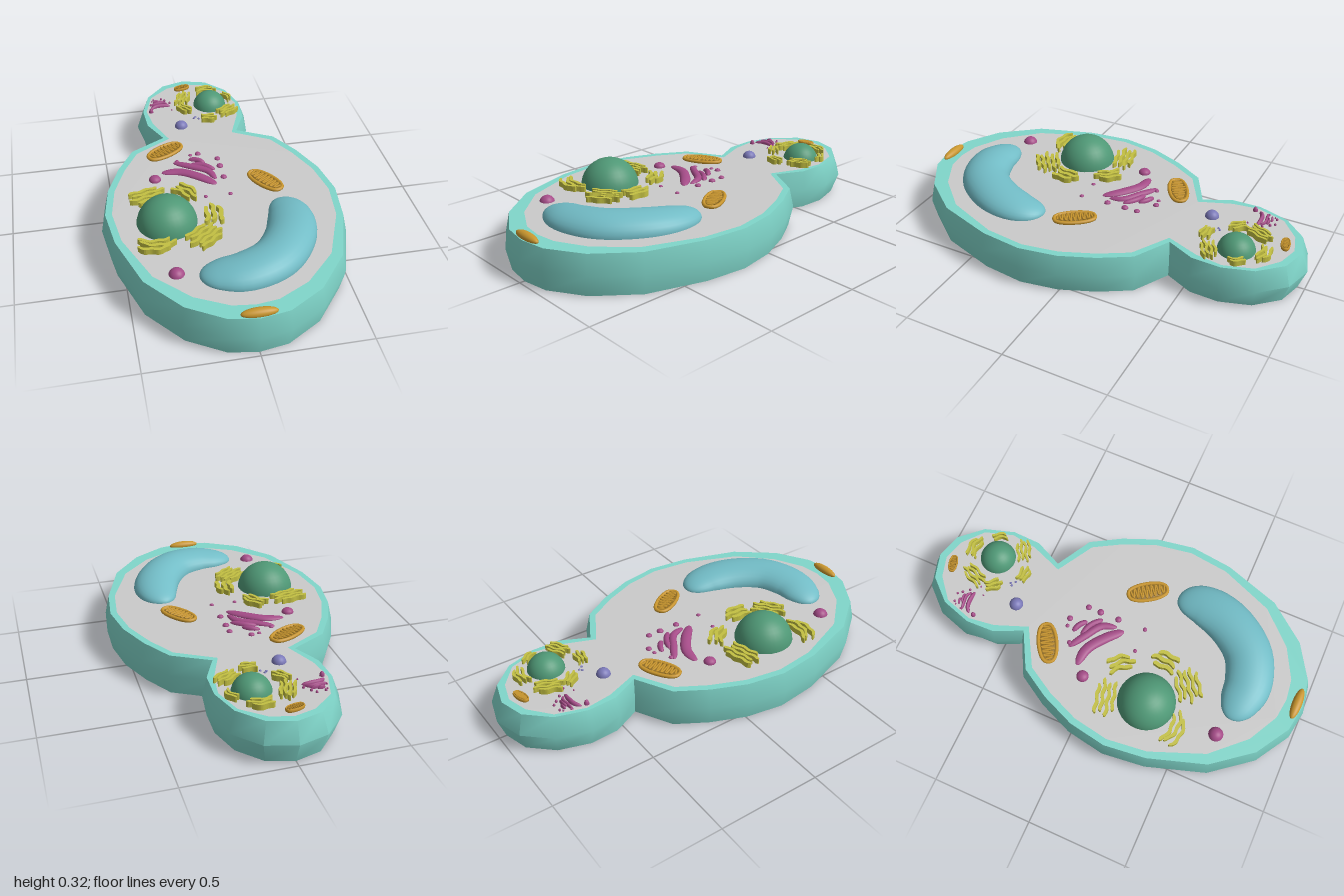
import * as THREE from 'three';
import { toCreasedNormals } from 'three/addons/utils/BufferGeometryUtils.js';

const TOP = 0.195;

function mat(name, color, side = THREE.FrontSide) {
  const m = new THREE.MeshStandardMaterial({ color, side });
  m.name = name;
  return m;
}

export function createModel() {
  const teal = mat('teal wall', 0x80d6ca);
  const gray = mat('gray cytoplasm', 0xcbcbcb);
  const green = mat('green nucleus', 0x4f9876);
  const blue = mat('blue vacuole', 0x72bcc6);
  const yellow = mat('yellow reticulum', 0xc3c043);
  const orange = mat('orange shell', 0xc9962e);
  const brown = mat('brown matrix', 0x94702a);
  const magenta = mat('magenta golgi', 0xa54c88);
  const purple = mat('purple vesicle', 0x7b79b8);

  const model = new THREE.Group();
  const add = (parent, name, geo, material, x = 0, y = 0, z = 0) => {
    const m = new THREE.Mesh(geo, material);
    m.name = name;
    m.position.set(x, y, z);
    parent.add(m);
    return m;
  };
  const group = (name, x, z, angle = 0, scale = 1) => {
    const g = new THREE.Group();
    g.name = name;
    g.position.set(x, 0, z);
    g.rotation.y = angle;
    g.scale.set(scale, 1, scale);
    model.add(g);
    return g;
  };

  // Cell outline as [x, z]: half of it, mirrored
  const half = [[0, -1], [0.14, -0.96], [0.25, -0.84], [0.3, -0.68], [0.28, -0.53], [0.215, -0.41],
    [0.385, -0.32], [0.475, -0.17], [0.545, 0], [0.577, 0.19], [0.552, 0.4], [0.46, 0.68],
    [0.31, 0.87], [0.14, 0.975], [0, 0.998]];
  const outline = [...half, ...half.slice(1, -1).reverse().map(([x, z]) => [-x, z])];
  const n = outline.length;
  const inset = (amount) => outline.map(([x, z], i) => {
    const [ax, az] = outline[(i + n - 1) % n], [bx, bz] = outline[(i + 1) % n];
    const l = Math.hypot(bx - ax, bz - az), d = amount(z);
    return [x - d * (bz - az) / l, z + d * (bx - ax) / l];
  });
  const edge = inset((z) => (z < -0.6 ? 0.035 : 0.021));
  const inner = inset((z) => 0.053 + 0.05 * Math.max(0, (z - 0.5) * 2) + (z < -0.9 ? 0.018 : 0));

  // Wall: three loops, widest in the middle
  const pos = [], idx = [];
  [[edge, 0], [outline, 0.1], [edge, TOP]].forEach(([ring, y]) => ring.forEach(([x, z]) => pos.push(x, y, z)));
  for (let r = 0; r < 2; r++) for (let i = 0; i < n; i++) {
    const a = r * n + i, b = r * n + (i + 1) % n;
    idx.push(a, a + n, b, b, a + n, b + n);
  }
  const wall = new THREE.BufferGeometry();
  wall.setAttribute('position', new THREE.Float32BufferAttribute(pos, 3));
  wall.setIndex(idx);
  add(model, 'cellWall', toCreasedNormals(wall, 0.85), teal);

  // Flat faces: bottom, rim and cytoplasm
  const shape = (pts, s) => new THREE.Shape(pts.map(([x, z]) => new THREE.Vector2(x, s * z)));
  add(model, 'cellBottom', new THREE.ShapeGeometry(shape(edge, 1)).rotateX(Math.PI / 2), teal);
  const rim = shape(edge, -1);
  rim.holes.push(shape(inner, -1));
  add(model, 'cellRim', new THREE.ShapeGeometry(rim).rotateX(-Math.PI / 2), teal, 0, TOP, 0);
  add(model, 'cytoplasm', new THREE.ShapeGeometry(shape(inner, -1)).rotateX(-Math.PI / 2), gray, 0, TOP, 0);

  // Rounded body swept along a path of [x, z] points
  function blob(points, w, h, steps = 20, around = 14) {
    const curve = new THREE.CatmullRomCurve3(points.map(([x, z]) => new THREE.Vector3(x, 0, z)));
    const p = [], f = [];
    for (let i = 0; i <= steps; i++) {
      const u = (1 - Math.cos(Math.PI * i / steps)) / 2, k = Math.abs(2 * u - 1);
      const c = curve.getPointAt(u), t = curve.getTangentAt(u);
      const rw = w * Math.sqrt(1 - k ** 4), rh = h * Math.sqrt(1 - k ** 2);
      for (let j = 0; j < around; j++) {
        const a = 2 * Math.PI * j / around, s = rw * Math.cos(a);
        p.push(c.x - t.z * s, rh * Math.sin(a), c.z + t.x * s);
        const j2 = (j + 1) % around, q = i * around;
        if (i < steps) f.push(q + j, q + around + j, q + j2, q + j2, q + around + j, q + around + j2);
      }
    }
    const g = new THREE.BufferGeometry();
    g.setAttribute('position', new THREE.Float32BufferAttribute(p, 3));
    g.setIndex(f);
    g.computeVertexNormals();
    return g;
  }
  const ball = (name, r, material, x, y, z) =>
    add(model, name, new THREE.SphereGeometry(r, 32, 20), material, x, y, z);

  // Nuclei, vacuole, vesicles and the scar on the front edge
  ball('nucleus', 0.142, green, -0.28, 0.18, 0.29);
  ball('budNucleus', 0.09, green, 0.105, 0.18, -0.69);
  add(model, 'vacuole', blob([[-0.2, 0.68], [-0.1, 0.695], [0, 0.7], [0.14, 0.645], [0.25, 0.5],
    [0.285, 0.36], [0.265, 0.225]], 0.118, 0.083, 40, 28), blue, 0, TOP, 0);
  ball('vesicle', 0.037, magenta, -0.293, 0.185, 0.65);
  ball('budVesicle', 0.034, purple, -0.085, 0.192, -0.495);
  ball('scar', 1, orange, 0, 0.2, 0.947).scale.set(0.08, 0.022, 0.024);

  // Golgi: curved sacs with loose droplets
  function golgi(name, x, z, angle, scale) {
    const g = group(name, x, z, angle, scale);
    [[[[-0.15, -0.09], [-0.06, -0.08], [0.03, -0.02], [0.1, 0.05]], 0.026],
      [[[-0.08, -0.165], [0, -0.115], [0.08, -0.06], [0.105, 0.01]], 0.019],
      [[[0, -0.135], [0.06, -0.115], [0.115, -0.07]], 0.015],
      [[[0, -0.18], [0.04, -0.165], [0.075, -0.135]], 0.014]]
      .forEach(([pts, w]) => add(g, 'golgiSac', blob(pts, w, 0.017), magenta, 0, TOP, 0));
    [[-0.19, -0.04, 0.03], [0.015, -0.215, 0.01], [0.055, -0.22, 0.015], [0.145, -0.16, 0.015],
      [0.145, -0.095, 0.017], [0.145, 0, 0.016], [0.03, 0.14, 0.01], [0.15, 0.14, 0.011],
      [-0.06, -0.17, 0.012]].forEach(([dx, dz, r]) => {
      const m = add(g, 'golgiDroplet', new THREE.SphereGeometry(r, 14, 10), magenta, dx, TOP, dz);
      m.scale.y = 0.75;
    });
  }
  golgi('golgi', -0.1, 0, 0, 1);
  golgi('budGolgi', -0.155, -0.7, 0.7, 0.4);

  // Mitochondria: oval shell, sunken matrix and folded ridge
  function mitochondrion(name, x, z, angle, scale) {
    const g = group(name, x, z, angle, scale);
    add(g, 'matrix', blob([[-0.095, 0], [0, 0], [0.095, 0]], 0.04, 0.012), brown, 0, TOP, 0);
    const oval = [], fold = [];
    for (let i = 0; i < 20; i++) {
      const a = i / 20 * Math.PI * 2, c = Math.cos(a), s = Math.sin(a);
      oval.push(new THREE.Vector3(0.098 * c, 0, 0.044 * Math.sign(s) * Math.abs(s) ** 0.75));
    }
    for (let i = 0; i <= 16; i++) {
      const u = i / 8 - 1;
      fold.push(new THREE.Vector3(0.085 * u, 0.008, (i % 2 ? 0.035 : -0.035) * Math.sqrt(1 - 0.8 * u * u)));
    }
    add(g, 'shell', new THREE.TubeGeometry(new THREE.CatmullRomCurve3(oval, true), 48, 0.009, 8, true), orange, 0, TOP + 0.008, 0);
    add(g, 'ridge', new THREE.TubeGeometry(new THREE.CatmullRomCurve3(fold), 96, 0.0055, 6), orange, 0, TOP + 0.005, 0);
  }
  mitochondrion('mitochondrionBack', -0.207, -0.265, 0.52, 1);
  mitochondrion('mitochondrionRight', 0.237, 0.075, -0.98, 1);
  mitochondrion('budMitochondrion', -0.02, -0.88, 0.25, 0.43);

  // Reticulum: stacks of wavy upright strips
  function strip(len, width, bend, phase) {
    const a = [], b = [];
    for (let i = 0; i <= 16; i++) {
      const x = (i / 16 - 0.5) * len;
      const y = bend * x * x + 0.004 * Math.sin(x * 90 + phase);
      const w = width / 2 * (i % 16 ? 1 : 0.4);
      a.push(new THREE.Vector2(x, y - w));
      b.unshift(new THREE.Vector2(x, y + w));
    }
    return new THREE.ExtrudeGeometry(new THREE.Shape([...a, ...b]), { depth: 0.032, bevelEnabled: false })
      .rotateX(-Math.PI / 2);
  }
  [[-0.345, 0.105, 0.25, 4, 0.175, 0.026, 0], [-0.155, 0.1, -0.9, 3, 0.13, 0.027, -4],
    [-0.06, 0.295, 1.5, 3, 0.125, 0.032, 2.5], [-0.13, 0.44, 0.65, 5, 0.165, 0.025, 0],
    [-0.355, 0.475, -0.1, 3, 0.165, 0.027, 4], [-0.035, -0.75, 1.2, 4, 0.13, 0.019, 0],
    [0.105, -0.825, -0.05, 3, 0.11, 0.02, -5], [0.21, -0.73, -1.1, 2, 0.075, 0.018, -6],
    [0.185, -0.585, 0.55, 4, 0.115, 0.019, 0], [0.07, -0.525, -0.1, 3, 0.08, 0.019, 5],
    [-0.045, -0.64, -0.9, 3, 0.085, 0.019, 5]].forEach(([x, z, angle, count, len, gap, bend]) => {
    const g = group('reticulum', x, z, angle);
    for (let k = 0; k < count; k++) {
      const o = k - (count - 1) / 2;
      const l = len * (1 - 0.12 * Math.abs(o));
      add(g, 'reticulumStrip', strip(l, gap * 0.62, bend, k * 1.3), yellow, (k % 2 ? 0.06 : -0.06) * len, 0.19, o * gap);
    }
  });

  // Loose specks in the bud
  [[0.005, -0.57], [0.02, -0.55], [-0.005, -0.56]].forEach(([x, z]) => ball('speck', 0.006, purple, x, TOP, z));

  return model;
}
